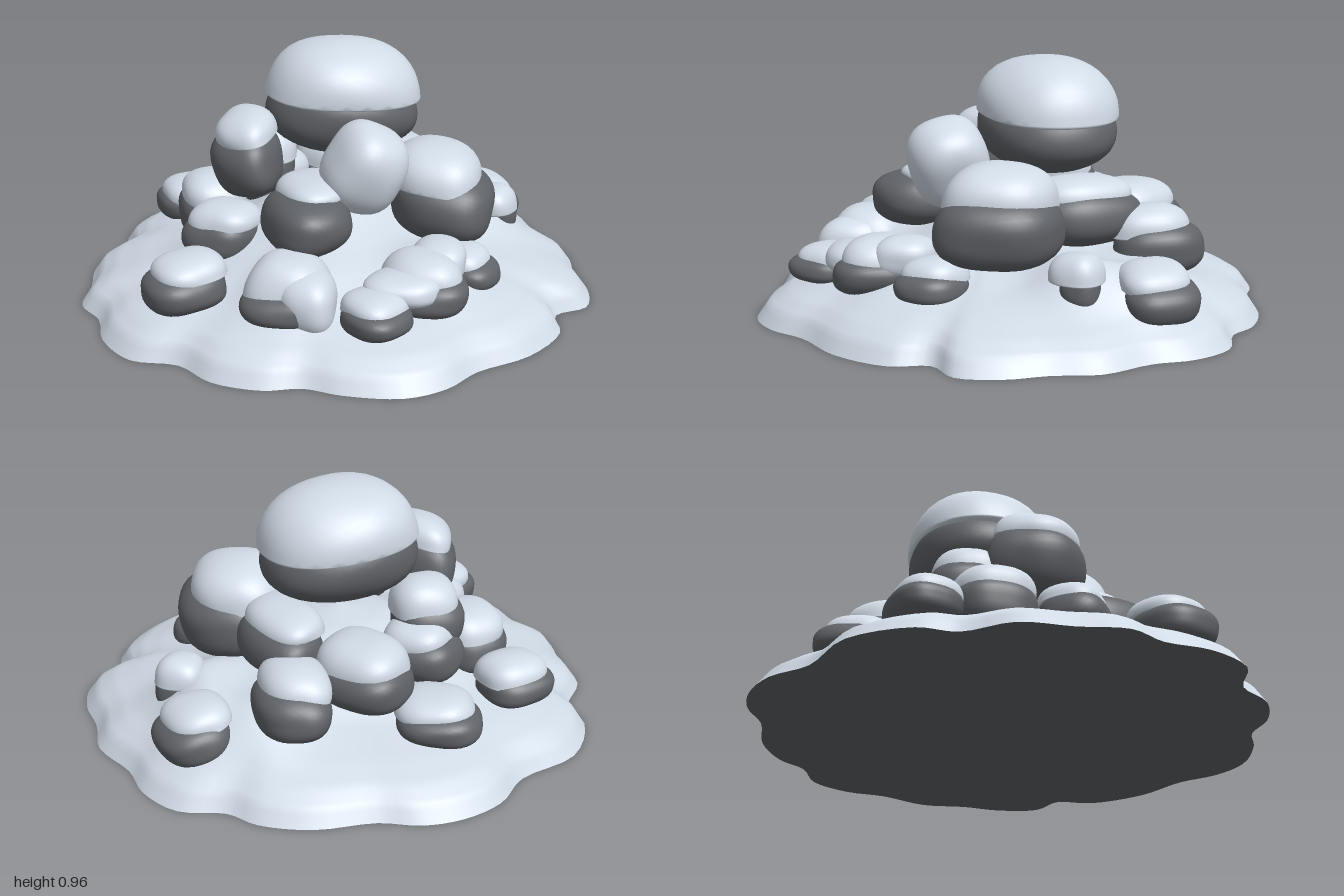
import * as THREE from 'three';
import { mergeVertices } from 'three/addons/utils/BufferGeometryUtils.js';

const snow = new THREE.MeshStandardMaterial({ color: 0xd1dbe6 });
snow.name = 'snow';
const stone = new THREE.MeshStandardMaterial({ color: 0x606368 });
stone.name = 'darkStone';

// Lobed rim of the snow mound, as x, z pairs
const rim = [
  [0, -1], [0.15, -0.97], [0.28, -0.89], [0.5, -0.83], [0.66, -0.72], [0.73, -0.61],
  [0.88, -0.52], [0.95, -0.36], [0.95, -0.2], [1, 0], [0.96, 0.17], [0.95, 0.33], [0.88, 0.48],
  [0.74, 0.52], [0.7, 0.66], [0.52, 0.81], [0.3, 0.88], [0.16, 0.97], [0, 1],
  [-0.2, 0.93], [-0.32, 0.85], [-0.46, 0.83], [-0.62, 0.73], [-0.71, 0.58], [-0.87, 0.5],
  [-0.95, 0.32], [-0.95, 0.14], [-1, 0], [-0.95, -0.17], [-0.91, -0.36], [-0.77, -0.5],
  [-0.75, -0.64], [-0.58, -0.82], [-0.32, -0.87], [-0.17, -0.97],
];
const rimCurve = new THREE.CatmullRomCurve3(rim.map(([x, z]) => new THREE.Vector3(x, 0, z)), true);

// Height of the mound from its centre (0) to its rim (1)
const profile = [[0, 0.4], [0.2, 0.37], [0.4, 0.27], [0.6, 0.18], [0.8, 0.135], [0.9, 0.1], [0.96, 0.06], [1, 0]];
// Soft drifts: x, z, height, radius
const drifts = [
  [0.6, -0.05, 0.11, 0.15], [0.68, -0.22, 0.07, 0.13], [-0.26, 0.48, 0.08, 0.16],
  [0.24, 0.47, 0.08, 0.14], [0.5, -0.38, 0.09, 0.17], [-0.48, 0.0, 0.04, 0.14],
];

function moundHeight(t, x, z) {
  let k = 0;
  while (k < profile.length - 2 && t > profile[k + 1][0]) k++;
  const [t0, y0] = profile[k], [t1, y1] = profile[k + 1];
  let y = y0 + (y1 - y0) * (t - t0) / (t1 - t0);
  const fade = Math.min(1, (1 - t) * 6);
  for (const [dx, dz, h, r] of drifts) y += fade * h * Math.exp(-((x - dx) ** 2 + (z - dz) ** 2) / (r * r));
  return y;
}

function moundGeometry() {
  const around = 140, rings = 40, pos = [], index = [];
  const edge = rimCurve.getPoints(around);
  for (let i = 0; i <= rings; i++) {
    const t = 1 - (1 - i / rings) ** 1.4;
    for (let j = 0; j < around; j++) {
      // Lobes fade to a circle toward the middle
      const lobe = t * THREE.MathUtils.lerp(0.93 / edge[j].length(), 1, t * t);
      const x = edge[j].x * lobe, z = edge[j].z * lobe;
      pos.push(x, moundHeight(t, x, z), z);
      if (i === rings) continue;
      const a = i * around + j, b = i * around + (j + 1) % around;
      index.push(a, b, a + around, b, b + around, a + around);
    }
  }
  const g = new THREE.BufferGeometry();
  g.setAttribute('position', new THREE.Float32BufferAttribute(pos, 3));
  g.setIndex(index);
  g.computeVertexNormals();
  return g;
}

// Rounded, slightly boxy boulder; "flat" squashes the lower half into a cap's underside
function boulder(hx, hy, hz, seed, flat = 1) {
  let g = new THREE.IcosahedronGeometry(1, 7);
  g.deleteAttribute('uv');
  g.deleteAttribute('normal');
  g = mergeVertices(g, 1e-4);
  const p = g.attributes.position, v = new THREE.Vector3(), q = new THREE.Vector3();
  const up = new THREE.Vector3(0, 1, 0), e = seed ? 2.55 : 2.2;
  for (let i = 0; i < p.count; i++) {
    v.fromBufferAttribute(p, i).normalize();
    q.copy(v).applyAxisAngle(up, seed * 0.7);
    const box = (Math.abs(q.x) ** e + Math.abs(q.y) ** e + Math.abs(q.z) ** e) ** (-1 / e);
    const lump = 0.98 + 0.04 * Math.sin(2.3 * v.x + seed) * Math.cos(2.1 * v.z + 2 * seed)
      + 0.02 * Math.sin(4 * v.y + 3 * v.x + seed * 3);
    v.multiplyScalar(box * lump);
    p.setXYZ(i, v.x * hx, v.y * hy * (v.y < 0 ? flat : 1), v.z * hz);
  }
  g.computeVertexNormals();
  return g;
}

// Rocks: x0, x1, y0, y1, z0, z1, snow line, cap scale, cap shift inward, sideways lean
const rocks = {
  topBoulder: [-0.25, 0.36, 0.52, 0.97, -0.39, 0.14, 0.75, 1.02, 0, -0.06],
  upperLeftRock: [-0.47, -0.21, 0.39, 0.73, -0.22, 0.15, 0.63, 0.87, 0.02, 0.2],
  frontLeftRock: [-0.34, -0.02, 0.28, 0.54, 0.08, 0.5, 0.48, 0.78, 0.07, 0.05],
  rightRock: [0.2, 0.6, 0.23, 0.61, -0.07, 0.41, 0.45, 0.9, 0.04, -0.08],
  innerRightRock: [0.2, 0.47, 0.28, 0.54, -0.4, 0.02, 0.46, 0.92, 0.03, 0],
  backRightRock: [0.27, 0.55, 0.17, 0.43, -0.63, -0.27, 0.32, 0.92, 0.04, 0],
  backRock: [-0.05, 0.28, 0.22, 0.48, -0.65, -0.27, 0.37, 0.94, 0.02, 0],
  backLeftRock: [-0.38, -0.09, 0.3, 0.59, -0.43, -0.15, 0.46, 0.94, 0.02, 0],
  innerBackRock: [-0.32, -0.04, 0.22, 0.46, -0.52, -0.24, 0.37, 0.93, 0.03, 0],
  leftRock: [-0.58, -0.3, 0.14, 0.42, -0.42, -0.1, 0.31, 0.96, 0.01, 0],
  lowerLeftRock: [-0.6, -0.32, 0.18, 0.4, -0.08, 0.19, 0.32, 0.95, 0.02, 0],
  farBackLeftRock: [-0.64, -0.34, 0.12, 0.31, -0.66, -0.4, 0.22, 0.93, 0.02, 0],
  farBackRock: [-0.25, 0.06, 0.12, 0.3, -0.8, -0.5, 0.22, 0.94, 0.03, 0],
  farLeftRock: [-0.81, -0.5, 0.11, 0.32, 0.2, 0.49, 0.24, 0.9, 0.03, 0.06],
  frontDriftRock: [-0.47, -0.15, 0.11, 0.36, 0.38, 0.69, 0.17, 1, 0.035, 0],
  frontRock: [-0.15, 0.1, 0.12, 0.27, 0.6, 0.86, 0.2, 0.95, 0.03, 0],
  frontRightRock: [0.05, 0.35, 0.12, 0.34, 0.43, 0.75, 0.22, 0.97, 0.03, 0.05],
  smallRightRock: [0.3, 0.53, 0.12, 0.29, 0.3, 0.56, 0.21, 0.92, 0.03, 0],
  farRightRock: [0.61, 0.88, 0.08, 0.29, -0.46, -0.16, 0.21, 0.9, 0.04, -0.2],
  buriedRock: [0.63, 0.77, 0.13, 0.34, -0.1, 0.04, 0.24, 1.4, 0.03, 0],
};

// Loose heaps of snow resting against rocks: x, y, z, half sizes
const heaps = {
  frontHeapBridge: [0.11, 0.24, 0.63, 0.15, 0.06, 0.12],
  frontRightHeap: [0.28, 0.27, 0.49, 0.1, 0.08, 0.12],
  frontLeftHeap: [-0.24, 0.2, 0.57, 0.11, 0.12, 0.15],
};

export function createModel() {
  const model = new THREE.Group();
  model.name = 'snowyRockPile';
  const add = (parent, geometry, material, name) => {
    const m = new THREE.Mesh(geometry, material);
    m.name = name;
    parent.add(m);
    return m;
  };

  add(model, moundGeometry(), snow, 'snowMound');

  // Dark underside
  const outline = new THREE.Shape(rimCurve.getPoints(140).map((p) => new THREE.Vector2(p.x, p.z)));
  add(model, new THREE.ShapeGeometry(outline).rotateX(Math.PI / 2), stone, 'underside');

  // Snow-capped rocks: the stone ends inside its cap
  Object.entries(rocks).forEach(([name, [x0, x1, y0, y1, z0, z1, line, scale, shift, lean]], seed) => {
    const rock = new THREE.Group();
    rock.name = name;
    const cx = (x0 + x1) / 2, cy = (y0 + y1) / 2, cz = (z0 + z1) / 2;
    const hx = (x1 - x0) / 2, hz = (z1 - z0) / 2, out = Math.hypot(cx, cz);
    rock.position.set(cx, cy, cz);
    rock.rotation.z = lean;
    const top = line + (y1 - line) * 0.45;
    add(rock, boulder(hx, (top - y0) / 2, hz, seed), stone, name + 'Stone').position.y = (top + y0) / 2 - cy;
    const cap = add(rock, boulder(hx * scale, y1 - line, hz * scale, seed, 0.15), snow, name + 'Snow');
    cap.position.set(-shift * cx / out, line - cy, -shift * cz / out);
    model.add(rock);
  });

  // Snow heaps
  for (const [name, [x, y, z, hx, hy, hz]] of Object.entries(heaps)) {
    add(model, boulder(hx, hy, hz, 3), snow, name).position.set(x, y, z);
  }

  // Leaning block buried in snow
  const block = add(model, boulder(0.15, 0.17, 0.155, 4.5), snow, 'leaningBlock');
  block.position.set(0.05, 0.57, 0.265);
  block.rotation.set(0.25, 0, -0.5);

  return model;
}
